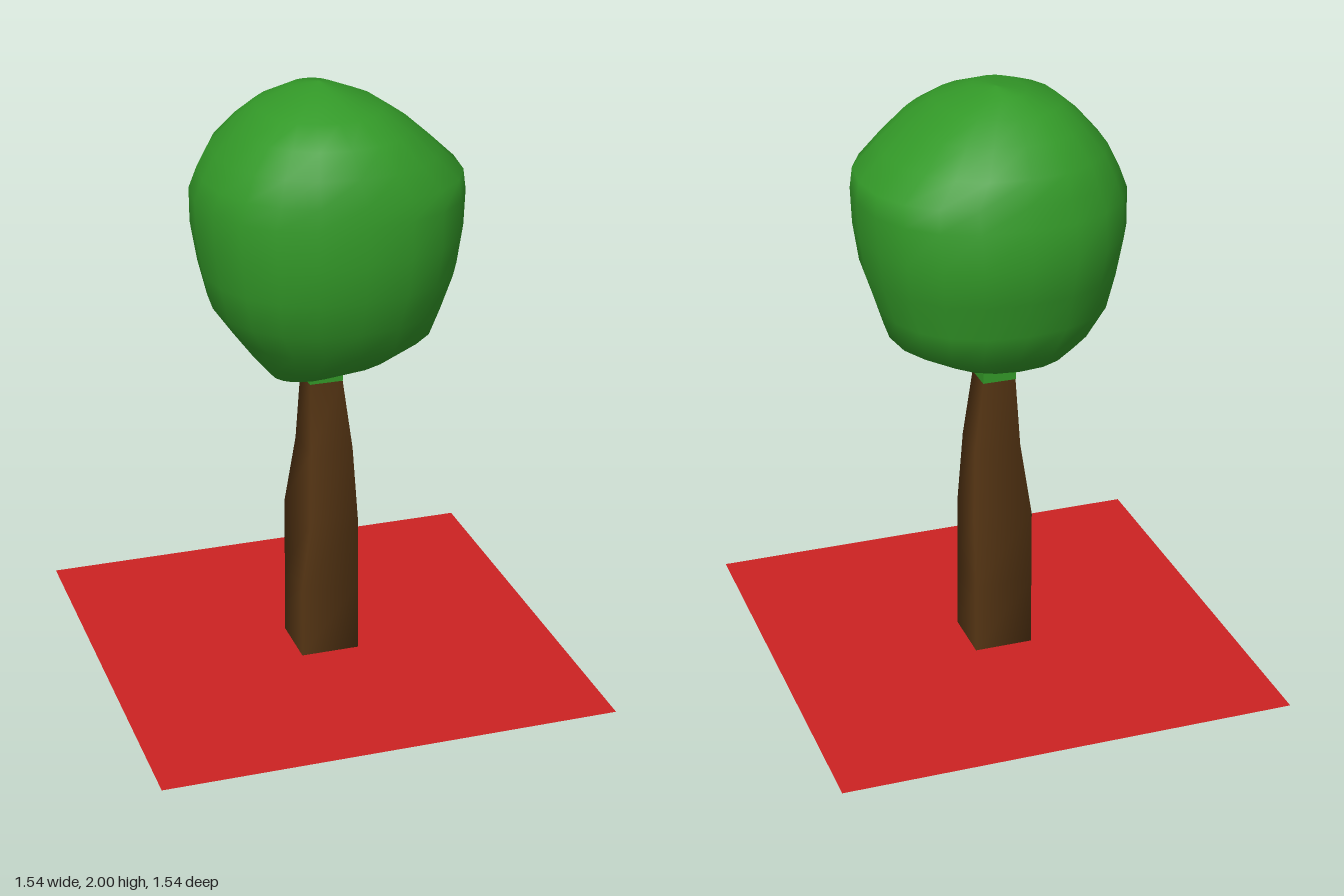
import * as THREE from 'three';

// Smooth skin through rings of [x, y, z] points, listed bottom to top, turning from +x towards +z
function loft(rings) {
  const n = rings[0].length;
  const index = [];
  for (let i = 0; i < rings.length - 1; i++) {
    for (let j = 0; j < n; j++) {
      const a = i * n + j, b = i * n + (j + 1) % n;
      index.push(a, a + n, b, b, a + n, b + n);
    }
  }
  const geometry = new THREE.BufferGeometry();
  geometry.setAttribute('position', new THREE.Float32BufferAttribute(rings.flat(2), 3));
  geometry.setIndex(index);
  geometry.computeVertexNormals();
  return geometry;
}

// Rounded-square ring filling the given x and z extents
function crownRing([y, x0, x1, z0, z1], sides = 20) {
  const round = (v) => Math.sign(v) * Math.abs(v) ** (2 / 2.25);
  return Array.from({ length: sides }, (_, j) => {
    const a = (j / sides) * Math.PI * 2;
    return [
      (x0 + x1) / 2 + (x1 - x0) / 2 * round(Math.cos(a)),
      y,
      (z0 + z1) / 2 + (z1 - z0) / 2 * round(Math.sin(a)),
    ];
  });
}

export function createModel() {
  const group = new THREE.Group();
  const material = (name, color) => Object.assign(new THREE.MeshStandardMaterial({ color }), { name });
  const leafGreen = material('leafGreen', 0x339928);
  const barkBrown = material('barkBrown', 0x543413);
  const groundRed = material('groundRed', 0xcc2222);
  groundRed.side = THREE.DoubleSide;

  const add = (name, geometry, mat, y = 0) => {
    const mesh = new THREE.Mesh(geometry, mat);
    mesh.name = name;
    mesh.position.y = y;
    group.add(mesh);
    return mesh;
  };

  // Flat square base
  add('basePlate', new THREE.PlaneGeometry(1.54, 1.54).rotateX(-Math.PI / 2), groundRed, 0.003);

  // Four-sided trunk, each corner tapering in at its own height
  const trunkRings = [
    [0, [0.1, 0.1], [-0.1, 0.1], [-0.1, -0.1], [0.1, -0.1]],
    [0.25, [0.1, 0.1], [-0.1, 0.1], [-0.1, -0.1], [0.1, -0.1]],
    [0.5, [0.097, 0.1], [-0.07, 0.1], [-0.1, -0.1], [0.097, -0.075]],
    [0.75, [0.085, 0.077], [-0.06, 0.077], [-0.07, -0.065], [0.087, -0.06]],
    [1, [0.055, 0.055], [-0.055, 0.055], [-0.055, -0.055], [0.055, -0.055]],
  ].map(([y, ...corners]) => corners.map(([x, z]) => [x, y, z]));
  add('trunk', loft(trunkRings), barkBrown);

  // Green underside of the trunk
  add('trunkUnderside', new THREE.PlaneGeometry(0.2, 0.2).rotateX(Math.PI / 2), leafGreen);

  // Green neck between trunk and crown
  add('crownNeck', new THREE.BoxGeometry(0.115, 0.12, 0.115), leafGreen, 1.05);

  // Lumpy crown: height, x extents, z extents
  const crownLevels = [
    [1.0, -0.1, -0.1, 0.02, 0.02],
    [1.03, -0.18, 0.05, -0.07, 0.12],
    [1.1, -0.24, 0.22, -0.23, 0.25],
    [1.18, -0.3, 0.36, -0.33, 0.32],
    [1.28, -0.37, 0.39, -0.36, 0.375],
    [1.4, -0.4, 0.43, -0.39, 0.41],
    [1.53, -0.42, 0.45, -0.42, 0.43],
    [1.65, -0.425, 0.455, -0.395, 0.42],
    [1.72, -0.4, 0.445, -0.375, 0.41],
    [1.8, -0.36, 0.36, -0.345, 0.39],
    [1.88, -0.29, 0.27, -0.27, 0.34],
    [1.94, -0.22, 0.18, -0.19, 0.25],
    [1.985, -0.1, 0.06, -0.11, 0.13],
    [2.0, 0, 0, -0.02, -0.02],
  ];
  add('crown', loft(crownLevels.map((level) => crownRing(level))), leafGreen);

  return group;
}
